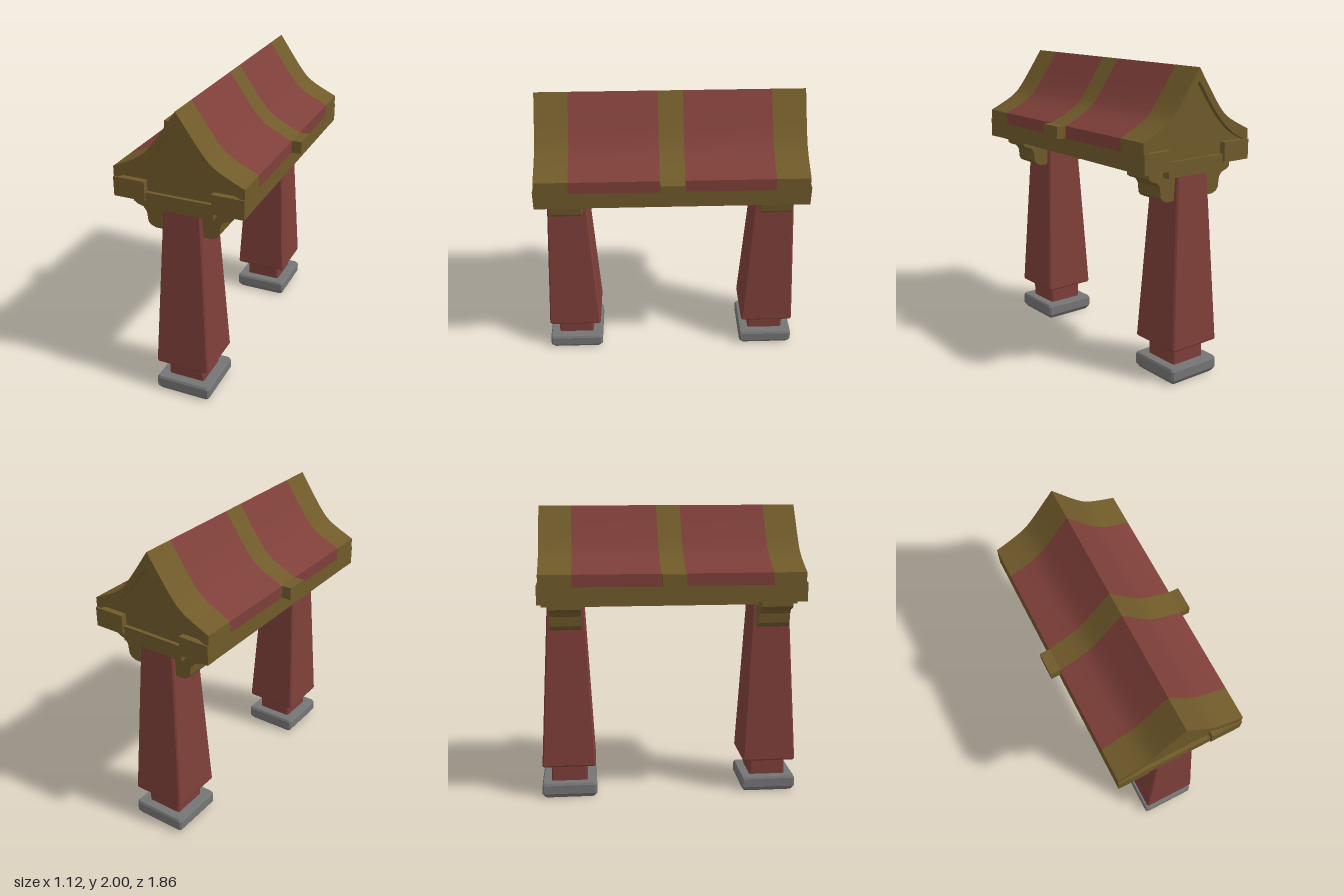
import * as THREE from 'three';
import { toCreasedNormals } from 'three/addons/utils/BufferGeometryUtils.js';
import { ConvexGeometry } from 'three/addons/geometries/ConvexGeometry.js';

const red = new THREE.MeshStandardMaterial({ color: 0x7e3f39 });
const gold = new THREE.MeshStandardMaterial({ color: 0x705a2a });
const stone = new THREE.MeshStandardMaterial({ color: 0x757575 });

function add(parent, name, geometry, material, x = 0, y = 0, z = 0) {
  const mesh = new THREE.Mesh(geometry, material);
  mesh.name = name;
  mesh.position.set(x, y, z);
  parent.add(mesh);
  return mesh;
}

// Box given by its lower and upper corners
function box(parent, name, material, [x0, y0, z0], [x1, y1, z1]) {
  const g = new THREE.BoxGeometry(x1 - x0, y1 - y0, z1 - z0);
  return add(parent, name, g, material, (x0 + x1) / 2, (y0 + y1) / 2, (z0 + z1) / 2);
}

// Square stack with chamfered corners from [height, half width] levels
function squareStack(levels, c) {
  const points = [];
  for (const [y, h] of levels)
    for (const sx of [-1, 1])
      for (const sz of [-1, 1])
        points.push(new THREE.Vector3(sx * h, y, sz * (h - c)), new THREE.Vector3(sx * (h - c), y, sz * h));
  return new ConvexGeometry(points);
}

// Smooth curve through half of a roof line, ridge to eave
function roofLine(points) {
  return new THREE.SplineCurve(points.map(p => new THREE.Vector2(...p))).getPoints(10);
}

const mirror = points => points.map(p => new THREE.Vector2(-p.x, p.y)).reverse();

// Extrude an outline between two z positions
function slab(outline, z0, z1) {
  const g = new THREE.ExtrudeGeometry(new THREE.Shape(outline), { depth: z1 - z0, bevelEnabled: false });
  g.translate(0, 0, z0);
  return toCreasedNormals(g, 0.45);
}

export function createModel() {
  const model = new THREE.Group();
  const gate = new THREE.Group();
  gate.name = 'gate';
  gate.rotation.y = -0.156;
  model.add(gate);

  // Swept roof shell in coloured bands
  const outer = roofLine([[0, 2], [0.165, 1.765], [0.26, 1.675], [0.43, 1.59]]);
  const inner = roofLine([[0, 1.92], [0.15, 1.715], [0.28, 1.59], [0.43, 1.51]]);
  const roof = [...mirror(outer), ...outer.slice(1), ...[...inner].reverse(), ...mirror(inner).reverse().slice(1)];
  const cuts = [-0.865, -0.65, -0.08, 0.08, 0.65, 0.865];
  for (let i = 0; i < 5; i++)
    add(gate, i % 2 ? 'roofPanel' : 'roofBand', slab(roof, cuts[i], cuts[i + 1]), i % 2 ? red : gold);

  // Recessed gable body and the beam below it
  const gable = [...mirror(inner), ...inner.slice(1), new THREE.Vector2(0.42, 1.45), new THREE.Vector2(-0.42, 1.45)];
  add(gate, 'gable', slab(gable, -0.835, 0.835), gold);
  box(gate, 'centreBeam', gold, [-0.225, 1.35, -0.86], [0.225, 1.45, 0.86]);
  box(gate, 'middleCrossbar', gold, [-0.495, 1.51, -0.078], [0.495, 1.592, 0.078]);

  // Eave beams with square end blocks
  for (const s of [-1, 1]) {
    const side = new THREE.Group();
    side.name = s > 0 ? 'leftEave' : 'rightEave';
    gate.add(side);
    const xs = [0.22 * s, 0.43 * s].sort((a, b) => a - b);
    box(side, 'eaveBeam', gold, [xs[0], 1.4, -0.86], [xs[1], 1.51, 0.86]);
    for (const e of [-1, 1]) {
      const zs = [0.8 * e, 0.875 * e].sort((a, b) => a - b);
      box(side, 'eaveEndBlock', gold, [xs[0], 1.398, zs[0]], [xs[1], 1.525, zs[1]]);
    }
  }

  // Stepped bracket outline spanning both sides of a pillar
  const half = [[0.335, 1.4], [0.335, 1.35], [0.315, 1.335], [0.27, 1.32], [0.248, 1.29],
    [0.24, 1.225], [0.225, 1.205], [0.19, 1.19], [0.1, 1.19]].map(p => new THREE.Vector2(...p));
  const bracket = [...half, ...mirror(half)];

  // Two tapered pillars on stone feet
  for (const e of [-1, 1]) {
    const post = new THREE.Group();
    post.name = e > 0 ? 'frontPillar' : 'backPillar';
    post.position.z = 0.7 * e;
    gate.add(post);
    add(post, 'shaft', squareStack([[0.225, 0.18], [0.235, 0.185], [1.36, 0.125]], 0.01), red);
    add(post, 'neck', squareStack([[0.09, 0.125], [0.23, 0.125]], 0.01), red);
    add(post, 'foot', squareStack([[0.002, 0.172], [0.03, 0.19], [0.09, 0.19], [0.105, 0.182]], 0.012), stone);
    add(post, 'footUnderside', squareStack([[0, 0.17], [0.01, 0.17]], 0.012), red);
    add(post, 'bracket', slab(bracket, -0.105, 0.105), gold);
  }
  return model;
}
